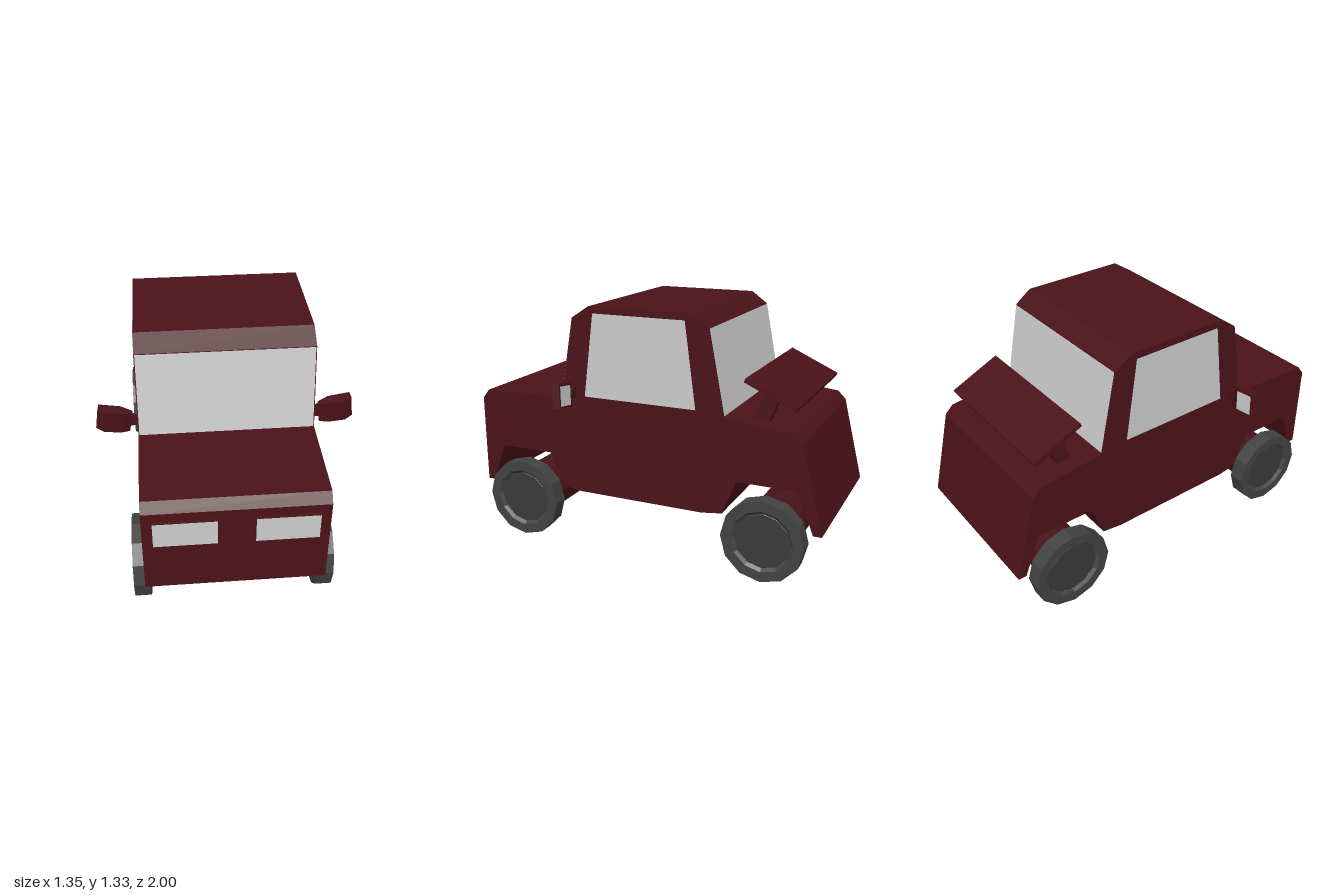
import * as THREE from 'three';

const mat = (color, side = THREE.FrontSide) =>
  new THREE.MeshStandardMaterial({ color, flatShading: true, side });
const paint = mat(0x4a1218);
const rubber = mat(0x424242);
const hubGrey = mat(0x3a3a3a);
const glass = mat(0xcccccc, THREE.DoubleSide);

function add(parent, name, geometry, material) {
  const mesh = new THREE.Mesh(geometry, material);
  mesh.name = name;
  parent.add(mesh);
  return mesh;
}

const shapeOf = (pts) => new THREE.Shape(pts.map(([a, b]) => new THREE.Vector2(a, b)));

// Extrudes a [z, y] side profile across x, centred on x
function sideExtrude(pts, width, x = 0) {
  const g = new THREE.ExtrudeGeometry(shapeOf(pts), { depth: width, bevelEnabled: false });
  return g.translate(0, 0, -width / 2).rotateY(-Math.PI / 2).translate(x, 0, 0);
}

// Flat four-cornered pane, corners anticlockwise from outside
function pane(corners) {
  const g = new THREE.BufferGeometry();
  g.setAttribute('position', new THREE.Float32BufferAttribute(corners.flat(), 3));
  g.setIndex([0, 1, 2, 0, 2, 3]);
  g.computeVertexNormals();
  return g;
}

function makeWheel(s, z) {
  const wheel = new THREE.Group();
  wheel.name = 'wheel';
  const lathe = (pts) => new THREE.LatheGeometry(pts.map(([r, y]) => new THREE.Vector2(r, y)), 12);
  add(wheel, 'tyre', lathe([[0, 0], [0.22, 0], [0.22, 0.085], [0.165, 0.085], [0.148, 0.07]]), rubber);
  add(wheel, 'hub', lathe([[0.15, 0.068], [0.145, 0.072], [0, 0.072]]), hubGrey);
  wheel.rotation.z = -s * Math.PI / 2;
  wheel.position.set(s * 0.43, 0.225, z);
  return wheel;
}

function makeMirror(s) {
  const mirror = new THREE.Group();
  mirror.name = 'wingMirror';
  // Housing: plan outline [x, z] around the head's centre, extruded in height
  const plan = [[-0.09, 0.0], [-0.03, -0.03], [0.085, -0.035], [0.088, 0.005], [0.045, 0.033], [-0.045, 0.03], [-0.088, 0.014]]
    .map(([x, z]) => [s * x, -z]);
  const housing = new THREE.ExtrudeGeometry(shapeOf(plan), { depth: 0.128, bevelEnabled: false });
  housing.rotateX(-Math.PI / 2).translate(0, -0.064, 0);
  const head = new THREE.Group();
  head.name = 'mirrorHead';
  add(head, 'mirrorHousing', housing, paint);
  add(head, 'mirrorGlass', pane([[0.077, -0.052, -0.037], [-0.024, -0.052, -0.033],
    [-0.024, 0.052, -0.033], [0.077, 0.052, -0.037]].map(([x, y, z]) => [s * x, y, z])), glass);
  head.rotation.set(0.1, 0, s * 0.14);
  head.position.set(s * 0.578, 0.88, 0.376);
  mirror.add(head);
  // Arm tapering towards the door
  const arm = add(mirror, 'mirrorArm', new THREE.CylinderGeometry(0.05, 0.03, 0.06, 4, 1, false, Math.PI / 4), paint);
  arm.scale.z = 0.45;
  arm.rotation.z = -s * 1.35;
  arm.position.set(s * 0.475, 0.872, 0.378);
  return mirror;
}

function makeSpoiler() {
  const spoiler = new THREE.Group();
  spoiler.name = 'spoiler';
  const blade = new THREE.Group();
  blade.name = 'spoilerBlade';
  add(blade, 'bladePlate', new THREE.BoxGeometry(0.82, 0.022, 0.298), paint);
  add(blade, 'bladePanel', new THREE.BoxGeometry(0.56, 0.008, 0.12), paint).position.set(0, 0.01, -0.01);
  // Ribs under the blade
  for (const z of [0.06, -0.09]) {
    const rib = add(blade, 'bladeRib', new THREE.CylinderGeometry(0.016, 0.016, 0.56, 6), paint);
    rib.rotation.z = Math.PI / 2;
    rib.position.set(0, -0.018, z);
  }
  blade.rotation.x = -0.43;
  blade.position.set(0, 0.957, -0.7);
  spoiler.add(blade);
  for (const s of [-1, 1]) {
    add(spoiler, 'spoilerPost', sideExtrude([[-0.595, 0.8], [-0.655, 0.955], [-0.73, 0.925], [-0.68, 0.8]], 0.05, s * 0.34), paint);
  }
  return spoiler;
}

export function createModel() {
  const car = new THREE.Group();
  car.name = 'car';

  // Body with cabin and wheel arches as one side profile
  const profile = [
    [0.985, 0.28], [0.985, 0.77], [0.945, 0.82], [0.46, 0.83], [0.38, 1.27], [0.28, 1.335],
    [-0.3, 1.335], [-0.39, 1.27], [-0.475, 0.83], [-0.84, 0.79], [-0.885, 0.745], [-1, 0.28],
    [-0.955, 0.28], [-0.87, 0.5], [-0.55, 0.5], [-0.475, 0.315], [-0.36, 0.3],
    [0.36, 0.3], [0.465, 0.315], [0.55, 0.5], [0.86, 0.5], [0.945, 0.28],
  ];
  add(car, 'body', sideExtrude(profile, 0.91), paint);

  // Windows
  const w = 0.45;
  add(car, 'windscreen', pane([[-w, 0.834, 0.463], [w, 0.834, 0.463], [w, 1.268, 0.384], [-w, 1.268, 0.384]]), glass);
  add(car, 'rearWindow', pane([[w, 0.834, -0.478], [-w, 0.834, -0.478], [-w, 1.268, -0.394], [w, 1.268, -0.394]]), glass);
  for (const s of [-1, 1]) {
    const corners = [[0.315, 0.85], [-0.325, 0.85], [-0.265, 1.3], [0.255, 1.3]].map(([z, y]) => [s * 0.458, y, z]);
    add(car, 'sideWindow', pane(s > 0 ? corners : corners.reverse()), glass);

    // Headlights
    add(car, 'headlightHousing', new THREE.BoxGeometry(0.315, 0.15, 0.03), paint).position.set(s * 0.2475, 0.645, 0.983);
    add(car, 'headlight', new THREE.PlaneGeometry(0.31, 0.145), glass).position.set(s * 0.2475, 0.645, 1);

    car.add(makeMirror(s));
  }

  // Wheels and axles
  for (const z of [0.705, -0.71]) {
    const axle = add(car, 'axle', new THREE.CylinderGeometry(0.145, 0.145, 0.87, 12), paint);
    axle.rotation.z = Math.PI / 2;
    axle.position.set(0, 0.225, z);
    for (const s of [-1, 1]) car.add(makeWheel(s, z));
  }

  car.add(makeSpoiler());
  return car;
}
